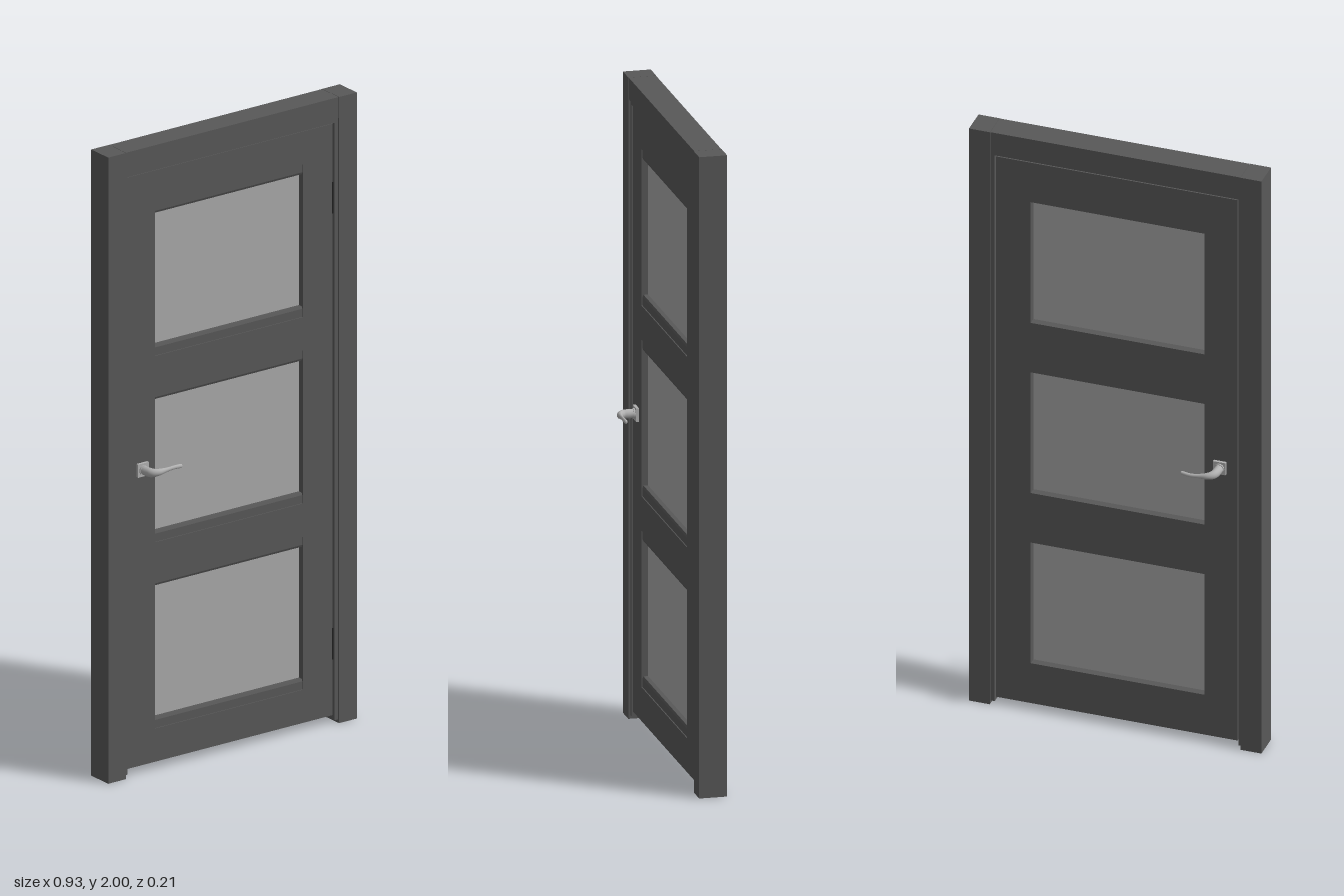
import * as THREE from 'three';

const material = (name, color) => {
  const m = new THREE.MeshStandardMaterial({ color });
  m.name = name;
  return m;
};

export function createModel() {
  const paint = material('dark grey paint', 0x585858);
  const glass = material('frosted glass', 0xa8a8a8);
  const metal = material('satin metal', 0xb0b0b0);
  const black = material('hinge black', 0x2c2c2c);
  const door = new THREE.Group();
  door.name = 'door';

  const add = (parent, name, geometry, mat) => {
    const mesh = new THREE.Mesh(geometry, mat);
    mesh.name = name;
    parent.add(mesh);
    return mesh;
  };
  // Box given by its limits on each axis
  const box = (name, x0, x1, y0, y1, z0, z1, mat = paint, parent = door) => {
    const g = new THREE.BoxGeometry(x1 - x0, y1 - y0, z1 - z0);
    g.translate((x0 + x1) / 2, (y0 + y1) / 2, (z0 + z1) / 2);
    return add(parent, name, g, mat);
  };

  // Casing: two jambs and a header, with a recessed inner stop
  box('rightJamb', -0.463, -0.397, 0, 2, -0.043, 0.043);
  box('leftJamb', 0.397, 0.463, 0, 2, -0.043, 0.043);
  box('header', -0.396, 0.396, 1.933, 2, -0.042, 0.042);
  box('rightStop', -0.397, -0.387, 0.01, 1.933, -0.036, 0.036);
  box('leftStop', 0.384, 0.397, 0.01, 1.933, -0.036, 0.036);
  box('topStop', -0.387, 0.384, 1.918, 1.933, -0.036, 0.036);

  // Door leaf: stiles and rails around three panes
  const zb = -0.036, zf = 0.032, xl = -0.28, xr = 0.27, bead = 0.033;
  const panes = [[0.165, 0.587], [0.76, 1.182], [1.355, 1.777]];
  box('rightStile', -0.385, xl, 0.026, 1.915, zb, zf);
  box('leftStile', xr, 0.38, 0.026, 1.915, zb, zf);
  const edges = [0.026, ...panes.flat(), 1.915];
  for (let i = 0; i < edges.length; i += 2) {
    const y0 = edges[i], y1 = edges[i + 1];
    const a = i === 0 ? y0 : y0 + bead;
    const b = i === 6 ? y1 : y1 - bead;
    box('railBack', xl, xr, y0, y1, zb, 0.012);
    box('railFront', xl, xr, a, b, 0.012, zf);
  }

  // Glazing bead: a bar with a softly sloped face, above and below each pane
  const beadGeometry = (dir) => {
    const s = new THREE.Shape();
    s.moveTo(0.012, 0);
    s.lineTo(0.026, 0);
    s.lineTo(0.029, dir * 0.007);
    s.lineTo(0.029, dir * bead);
    s.lineTo(0.012, dir * bead);
    const g = new THREE.ExtrudeGeometry(s, { depth: xr - xl, bevelEnabled: false });
    g.rotateY(-Math.PI / 2);
    // After the turn the profile lies in z and the length runs toward -x
    g.translate(xr, 0, 0);
    return g;
  };
  for (const [y0, y1] of panes) {
    box('pane', xl, xr, y0, y1, -0.012, 0.012, glass);
    add(door, 'upperBead', beadGeometry(1), paint).position.y = y1;
    add(door, 'lowerBead', beadGeometry(-1), paint).position.y = y0;
  }

  // Hinges in the gap beside the left stile
  for (const y of [0.255, 1.68]) {
    const g = new THREE.CylinderGeometry(0.003, 0.003, 0.1, 10);
    add(door, 'hinge', g, black).position.set(0.381, y, 0.033);
  }

  // Tapered lever, swept along a curve from the rosette
  const path = new THREE.CatmullRomCurve3([
    [0, 0, 0.03], [0, 0, 0.06], [0.004, 0.001, 0.079], [0.018, 0.003, 0.09],
    [0.045, 0.006, 0.094], [0.075, 0.008, 0.095], [0.1, 0.006, 0.093],
  ].map((p) => new THREE.Vector3(...p)));
  const steps = 36, sides = 14;
  const radiusAt = (t) => 0.0135 - 0.0085 * THREE.MathUtils.smoothstep(t, 0.2, 0.75);
  const makeHandle = () => {
    const handle = new THREE.Group();
    const g = new THREE.TubeGeometry(path, steps, 1, sides, false);
    const p = g.attributes.position, v = new THREE.Vector3();
    for (let i = 0; i < p.count; i++) {
      const t = Math.floor(i / (sides + 1)) / steps;
      const c = path.getPointAt(t);
      v.fromBufferAttribute(p, i).sub(c).multiplyScalar(radiusAt(t));
      v.y *= 1 + 0.3 * t;
      p.setXYZ(i, c.x + v.x, c.y + v.y, c.z + v.z);
    }
    g.computeVertexNormals();
    add(handle, 'lever', g, metal);
    const tip = add(handle, 'leverTip', new THREE.SphereGeometry(0.005, 14, 10), metal);
    tip.position.copy(path.getPoint(1));
    tip.scale.y = 1.3;
    // Square rosette with a round collar
    box('rosette', -0.02, 0.02, -0.021, 0.021, 0.028, 0.041, metal, handle);
    const collar = new THREE.CylinderGeometry(0.016, 0.016, 0.006, 20);
    collar.rotateX(Math.PI / 2);
    add(handle, 'collar', collar, metal).position.z = 0.043;
    handle.position.set(-0.33, 0.972, 0);
    door.add(handle);
    return handle;
  };
  makeHandle().name = 'frontHandle';
  const back = makeHandle();
  back.name = 'backHandle';
  back.rotation.x = Math.PI;
  back.position.z = -0.004;

  return door;
}
